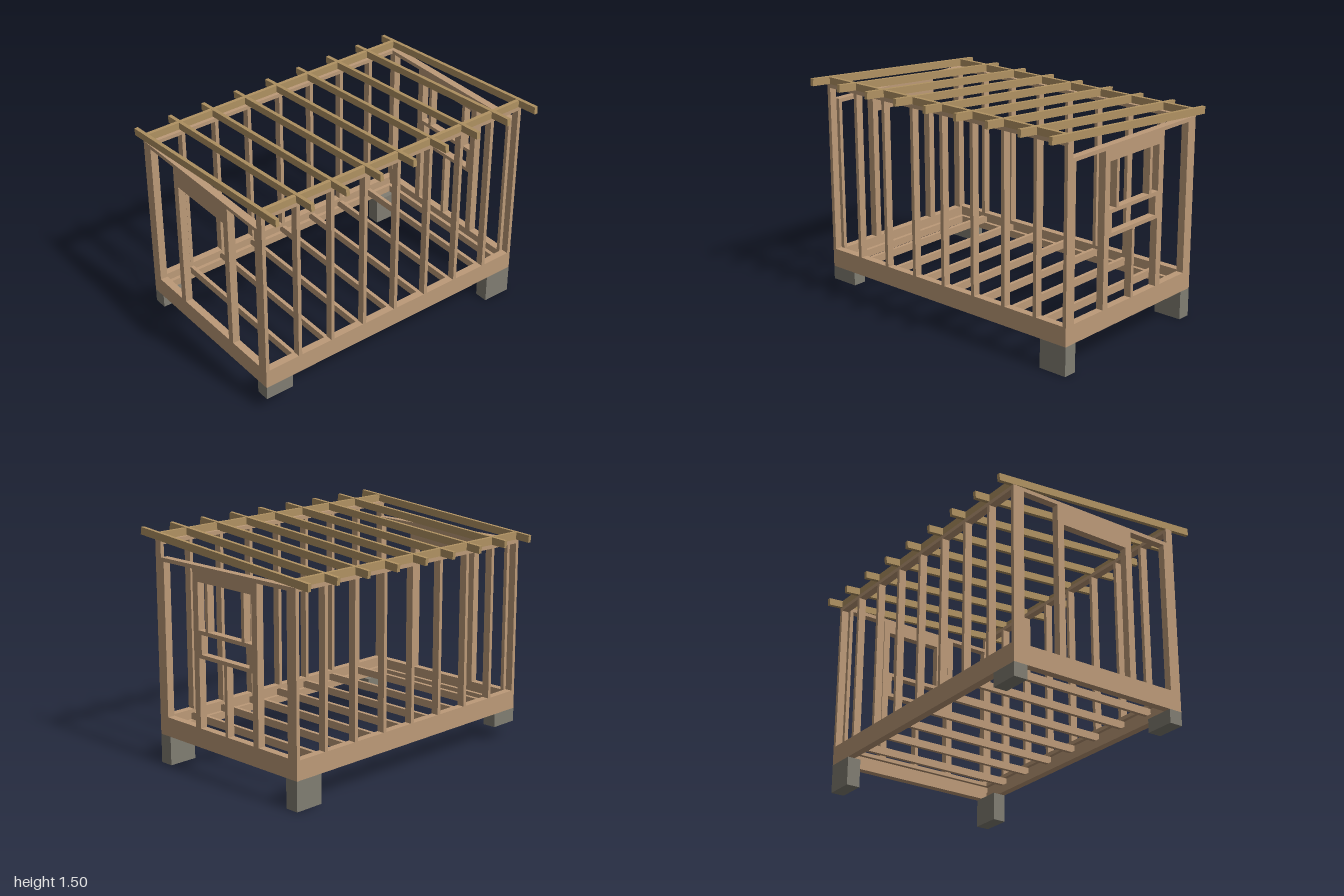
import * as THREE from 'three';

export function createModel() {
  const model = new THREE.Group();
  const timber = new THREE.MeshStandardMaterial({ color: 0xbc9a78 });
  const roofTimber = new THREE.MeshStandardMaterial({ color: 0xb09262 });
  const concrete = new THREE.MeshStandardMaterial({ color: 0x807d72 });

  // Box between two limits on each axis
  const beam = (name, x0, x1, y0, y1, z0, z1, material = timber) => {
    const mesh = new THREE.Mesh(new THREE.BoxGeometry(x1 - x0, y1 - y0, z1 - z0), material);
    mesh.position.set((x0 + x1) / 2, (y0 + y1) / 2, (z0 + z1) / 2);
    mesh.name = name;
    model.add(mesh);
    return mesh;
  };

  const T = 0.025, D = 0.05;             // timber thickness and depth
  const F = 0.603, B = -0.643;           // outer faces of front and back walls
  const floorY = 0.19, plateY = 0.315;   // underside of sill, top of bottom plates
  const frontTop = 1.442, backTop = 1.339;

  // Shared spacing of joists, studs and rafters
  const bays = [-0.9875];
  for (let i = 0; i < 7; i++) bays.push(-0.742 + i * 0.25);
  bays.push(0.9875);

  // Footing blocks, taller on the +x side
  for (const [x0, x1, y0] of [[-1, -0.803, 0.1], [0.803, 1, 0]]) {
    beam('footing', x0, x1, y0, floorY, F - 0.092, F, concrete);
    beam('footing', x0, x1, y0, floorY, B, B + 0.092, concrete);
  }

  // Floor: sills, rim joists, joists
  const joistY = floorY + D, joistTop = plateY - T;
  beam('frontSill', -1, 1, floorY, joistY, F - D, F);
  beam('backSill', -1, 1, floorY, joistY, B, B + D);
  for (const x of [-1, 1 - D]) beam('sideSill', x, x + D, floorY, joistY, B + D, F - D);
  beam('frontRim', -1, 1, joistY, joistTop, F - T, F);
  beam('backRim', -1, 1, joistY, joistTop, B, B + T);
  for (const x of bays) beam('floorJoist', x - T / 2, x + T / 2, joistY, joistTop, B + T, F - T);

  // Front and back stud walls
  for (const [side, z0, top] of [['front', F - D, frontTop], ['back', B, backTop]]) {
    beam(side + 'BottomPlate', -1, 1, joistTop, plateY, z0, z0 + D);
    beam(side + 'TopPlate', -1, 1, top - T, top, z0, z0 + D);
    for (const x of bays) beam(side + 'Stud', x - T / 2, x + T / 2, plateY, top - T, z0, z0 + D);
  }

  // Side walls: plates, corner studs, doubled studs beside the opening
  const zA = F - D, zB = B + D;
  const openF = 0.21, openB = -0.27, studTop = backTop - T;
  const side = (name, x, y0, y1, z0, z1) => beam(name, x, x + D, y0, y1, z0, z1);
  for (const [x, headY] of [[-1, 1.21], [1 - D, 1.24]]) {
    const jackTop = x < 0 ? 1.19 : headY;
    side('sideBottomPlate', x, joistTop, plateY, zB, zA);
    side('sideTopPlate', x, studTop, backTop, zB, zA);
    side('cornerStud', x, plateY, studTop, zA - T, zA);
    side('cornerStud', x, plateY, studTop, zB, zB + T);
    side('kingStud', x, plateY, studTop, openF + 0.023, openF + 0.046);
    side('kingStud', x, plateY, studTop, openB - 0.046, openB - 0.023);
    side('jackStud', x, plateY, jackTop, openF, openF + 0.023);
    side('jackStud', x, plateY, jackTop, openB - 0.023, openB);
    side('openingHeader', x, headY, studTop, openB - 0.023, openF + 0.023);
  }
  side('doorHeaderPlate', -1, 1.19, 1.21, openB - 0.023, openF + 0.023);

  // Window framing in the +x wall
  const wx = 1 - D;
  side('windowSill', wx, 0.915, 0.94, openB, openF);
  side('lowerSill', wx, 0.765, 0.79, openB, openF);
  side('sillBlock', wx, 0.79, 0.915, openF - T, openF);
  side('sillBlock', wx, 0.79, 0.915, openB, openB + T);
  side('windowJamb', wx, 0.94, 1.24, 0.121, 0.146);
  side('windowJamb', wx, 0.94, 1.24, -0.204, -0.179);
  side('crippleStud', wx, plateY, 0.765, -0.043, -0.018);

  // Blocking between rafters above both long walls
  for (let i = 0; i < bays.length - 1; i++) {
    const x0 = bays[i] + T / 2, x1 = bays[i + 1] - T / 2;
    beam('frontBlocking', x0, x1, frontTop, 1.488, F - T, F, roofTimber);
    beam('backBlocking', x0, x1, backTop, 1.388, B, B + T, roofTimber);
  }

  // Sloping rafters, high at the front
  const slope = Math.atan2(0.125, 1.49);
  for (const x of bays) {
    const rafter = beam('rafter', x - T / 2, x + T / 2, 1.393, 1.441, -0.746, 0.746, roofTimber);
    rafter.rotation.x = -slope;
  }

  return model;
}
